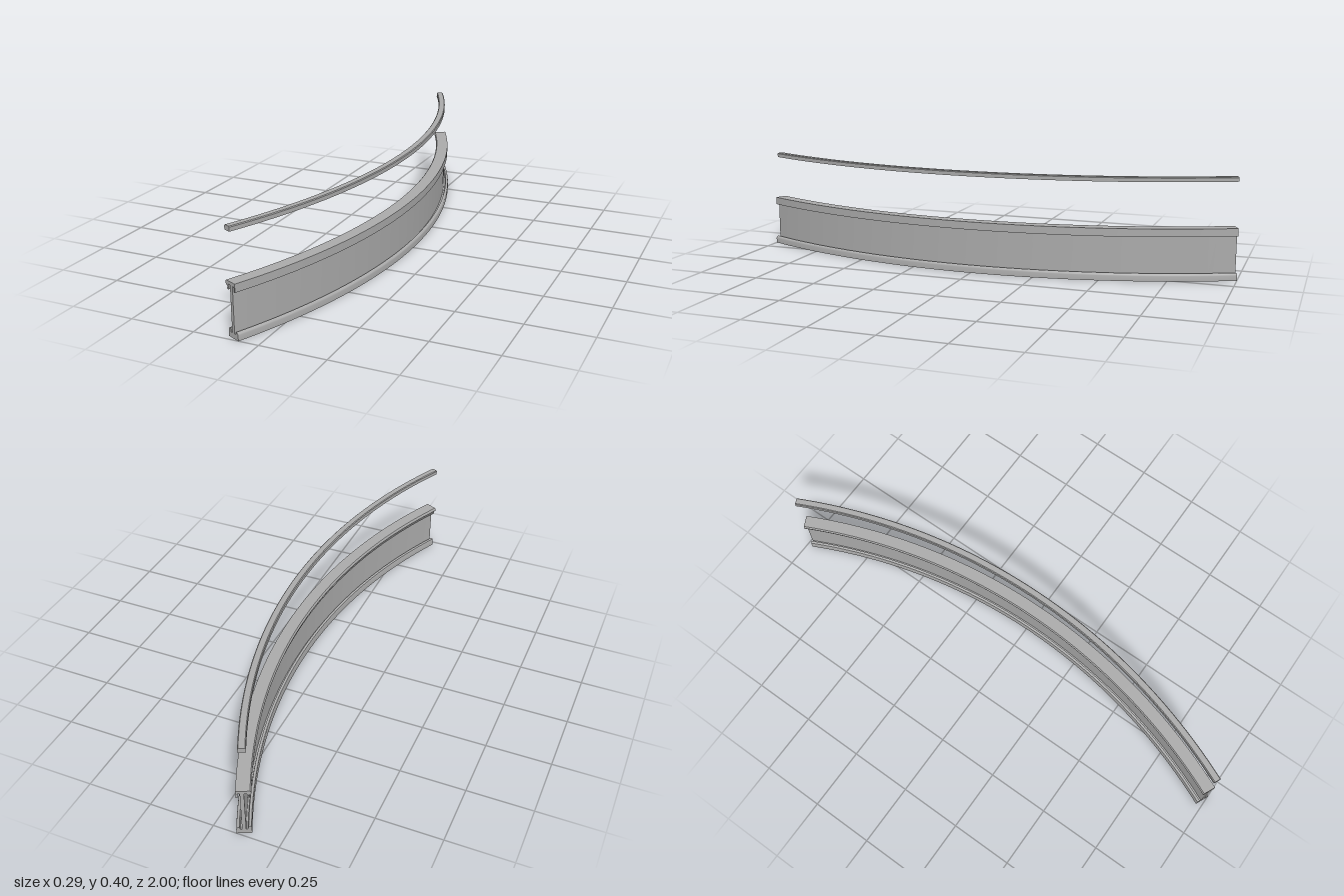
import * as THREE from 'three';
import { toCreasedNormals } from 'three/addons/utils/BufferGeometryUtils.js';

const RADIUS = 2.307;               // centre line of the curved wall
const CENTRE_X = -2.191, CENTRE_Z = 0.015;
const START = -0.45, END = 0.436;   // end angles of the arc
const STEPS = 56;

// Sweeps a cross-section [radial offset, height] along the arc
function sweep(name, profile, material) {
  const shape = new THREE.Shape(profile.map(([u, v]) => new THREE.Vector2(u, v)));
  const geo = new THREE.ExtrudeGeometry(shape, { depth: 1, steps: STEPS, bevelEnabled: false });
  const p = geo.attributes.position;
  for (let i = 0; i < p.count; i++) {
    const r = RADIUS + p.getX(i);
    const a = START + (END - START) * p.getZ(i);
    p.setXYZ(i, CENTRE_X + r * Math.cos(a), p.getY(i), CENTRE_Z + r * Math.sin(a));
  }
  const mesh = new THREE.Mesh(toCreasedNormals(geo, 0.6), material);
  mesh.name = name;
  return mesh;
}

export function createModel() {
  const group = new THREE.Group();
  group.name = 'curvedParapet';
  const grey = new THREE.MeshStandardMaterial({ color: 0xaaaaaa });
  grey.name = 'grey';

  // Base channel with a raised lip on each side of the wall
  group.add(sweep('base', [
    [-0.027, 0], [0.027, 0], [0.027, 0.02], [0.0255, 0.025], [0.022, 0.028],
    [0.016, 0.029], [0.013, 0.019], [-0.013, 0.019], [-0.016, 0.033],
    [-0.022, 0.033], [-0.0255, 0.031], [-0.027, 0.027],
  ], grey));

  // Thin upright wall
  group.add(sweep('wall', [
    [-0.007, 0.015], [0.007, 0.015], [0.007, 0.194], [-0.007, 0.194],
  ], grey));

  // Hollow coping: plain outer fascia, rounded nose and step on the inner side
  group.add(sweep('coping', [
    [-0.024, 0.172], [-0.017, 0.172], [-0.017, 0.191], [0.015, 0.191],
    [0.015, 0.172], [0.021, 0.172], [0.021, 0.203], [-0.028, 0.203],
    [-0.031, 0.2], [-0.032, 0.195], [-0.031, 0.19], [-0.028, 0.186],
    [-0.022, 0.184], [-0.022, 0.18], [-0.024, 0.178],
  ], grey));

  // Floating handrail with softened top edges
  group.add(sweep('handrail', [
    [-0.023, 0.38], [0.005, 0.38], [0.005, 0.395], [0.002, 0.398],
    [-0.02, 0.398], [-0.023, 0.395],
  ], grey));

  return group;
}
